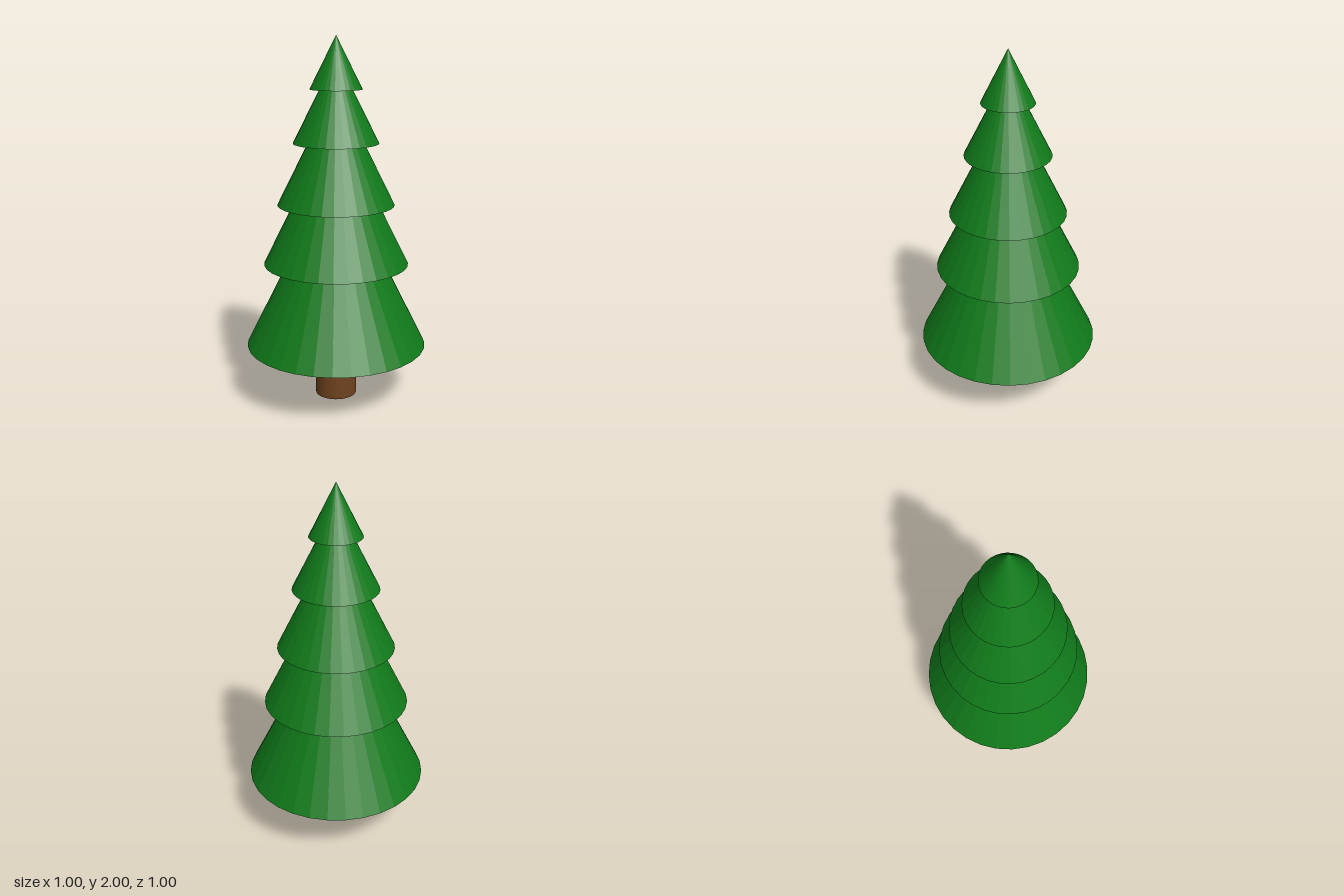
import * as THREE from 'three';

const SIDES = 32;

// Foliage tiers from bottom to top: [base height, base radius, cone height]
const TIERS = [
  [0.305, 0.5, 1.0],
  [0.77, 0.398, 0.8],
  [1.1, 0.319, 0.64],
  [1.435, 0.232, 0.46],
  [1.72, 0.141, 0.28],
];

export function createModel() {
  const tree = new THREE.Group();
  tree.name = 'tree';

  const bark = new THREE.MeshStandardMaterial({ color: 0x6f421e, flatShading: true });
  const needles = new THREE.MeshStandardMaterial({ color: 0x107a1a, flatShading: true });

  // Trunk, standing on the ground and ending at the lowest tier
  const trunkHeight = TIERS[0][0];
  const trunk = new THREE.Mesh(
    new THREE.CylinderGeometry(0.115, 0.115, trunkHeight, SIDES), bark);
  trunk.name = 'trunk';
  trunk.position.y = trunkHeight / 2;
  tree.add(trunk);

  // Overlapping cones of foliage
  const foliage = new THREE.Group();
  foliage.name = 'foliage';
  TIERS.forEach(([base, radius, height], i) => {
    const tier = new THREE.Mesh(new THREE.ConeGeometry(radius, height, SIDES), needles);
    tier.name = `foliageTier${i + 1}`;
    tier.position.y = base + height / 2;
    foliage.add(tier);
  });
  tree.add(foliage);

  return tree;
}
